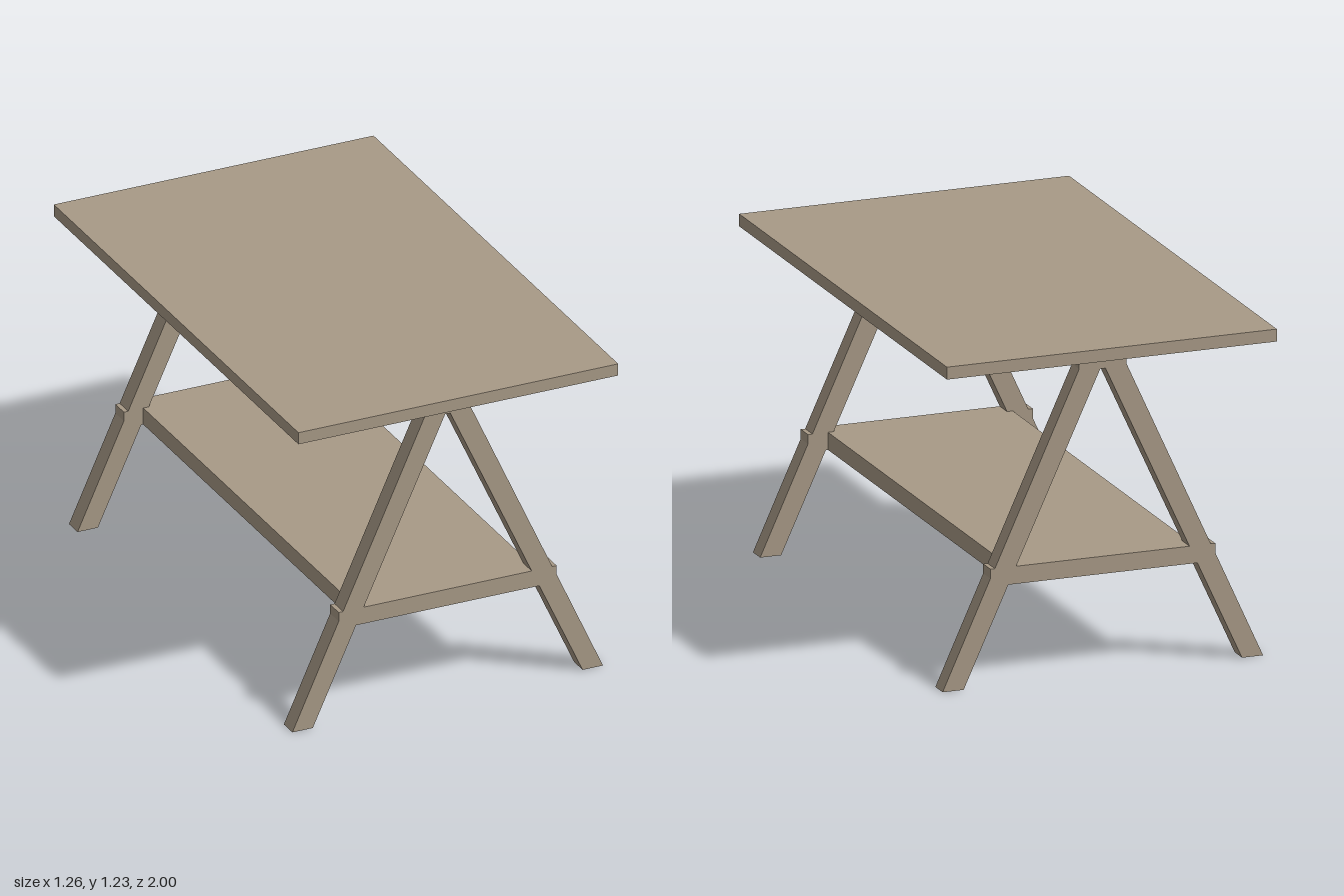
import * as THREE from 'three';

const wood = new THREE.MeshStandardMaterial({ color: 0xa89a87 });

function addMesh(parent, name, geometry, x, y, z) {
  const mesh = new THREE.Mesh(geometry, wood);
  mesh.name = name;
  mesh.position.set(x, y, z);
  parent.add(mesh);
}

// Trestle outline: splayed legs, crossbar and head block in one profile
function trestleGeometry(depth) {
  const right = [
    [0.36, 0.37], [0.53, 0], [0.61, 0], [0.428, 0.4], [0.428, 0.435],
    [0.411, 0.435], [0.09, 1.138], [0.09, 1.184],
  ];
  const left = right.map(([x, y]) => [-x, y]).reverse();
  const shape = new THREE.Shape([...right, ...left].map(([x, y]) => new THREE.Vector2(x, y)));
  // Opening between the legs, above the crossbar
  shape.holes.push(new THREE.Path(
    [[-0.33, 0.435], [-0.01, 1.13], [0.01, 1.13], [0.33, 0.435]].map(([x, y]) => new THREE.Vector2(x, y))
  ));
  const geometry = new THREE.ExtrudeGeometry(shape, { depth, bevelEnabled: false });
  return geometry.translate(0, 0, -depth / 2);
}

export function createModel() {
  const group = new THREE.Group();
  group.name = 'trestleTable';

  // Table top
  addMesh(group, 'tableTop', new THREE.BoxGeometry(1.256, 0.046, 2), 0, 1.207, 0);

  // Front and back trestles
  const trestle = trestleGeometry(0.07);
  addMesh(group, 'frontTrestle', trestle, 0, 0, 0.878);
  addMesh(group, 'backTrestle', trestle, 0, 0, -0.878);

  // Lower shelf spanning between the crossbars
  addMesh(group, 'lowerShelf', new THREE.BoxGeometry(0.704, 0.065, 1.686), 0, 0.4025, 0);

  return group;
}
